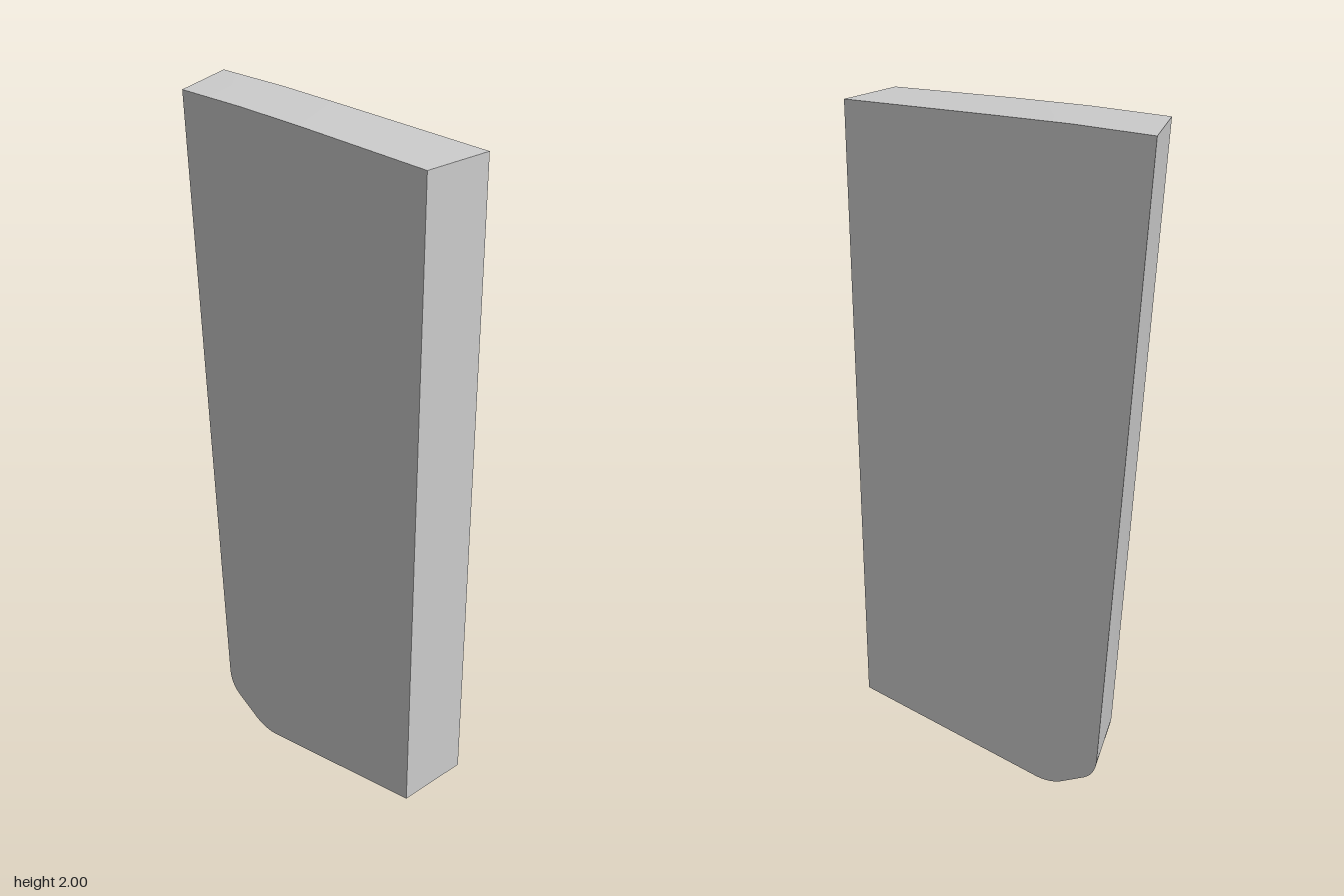
import * as THREE from 'three';
import { toCreasedNormals } from 'three/addons/utils/BufferGeometryUtils.js';

const WIDTH = 0.225;
const BEVEL = 0.088; // how much shorter the -x side is at the back

export function createModel() {
  const group = new THREE.Group();
  group.name = 'panel';

  // Side profile, drawn as (z, y)
  const profile = new THREE.Shape();
  profile.moveTo(0.5, 0.085);
  profile.lineTo(-0.15, 0.004);
  profile.quadraticCurveTo(-0.2, -0.003, -0.245, 0.02); // lower rounded corner
  profile.lineTo(-0.325, 0.066);
  profile.quadraticCurveTo(-0.366, 0.09, -0.37, 0.14); // upper rounded corner
  profile.lineTo(-0.5, 2);
  profile.lineTo(-0.25, 2);
  profile.lineTo(0, 1.994);
  profile.lineTo(0.5, 1.98);
  profile.closePath();

  let geometry = new THREE.ExtrudeGeometry(profile, {
    depth: WIDTH, bevelEnabled: false, curveSegments: 8,
  });
  geometry.rotateY(-Math.PI / 2);
  geometry.translate(WIDTH / 2, 0, 0);

  // Slant the back: pull the -x side forward, keeping the front face square
  const pos = geometry.attributes.position;
  for (let i = 0; i < pos.count; i++) {
    if (pos.getX(i) < 0 && pos.getZ(i) < 0.45) pos.setZ(i, pos.getZ(i) + BEVEL);
  }
  geometry = toCreasedNormals(geometry, 0.4);

  const slab = new THREE.Mesh(geometry, new THREE.MeshStandardMaterial({ color: 0xcccccc }));
  slab.name = 'slab';
  group.add(slab);
  return group;
}
